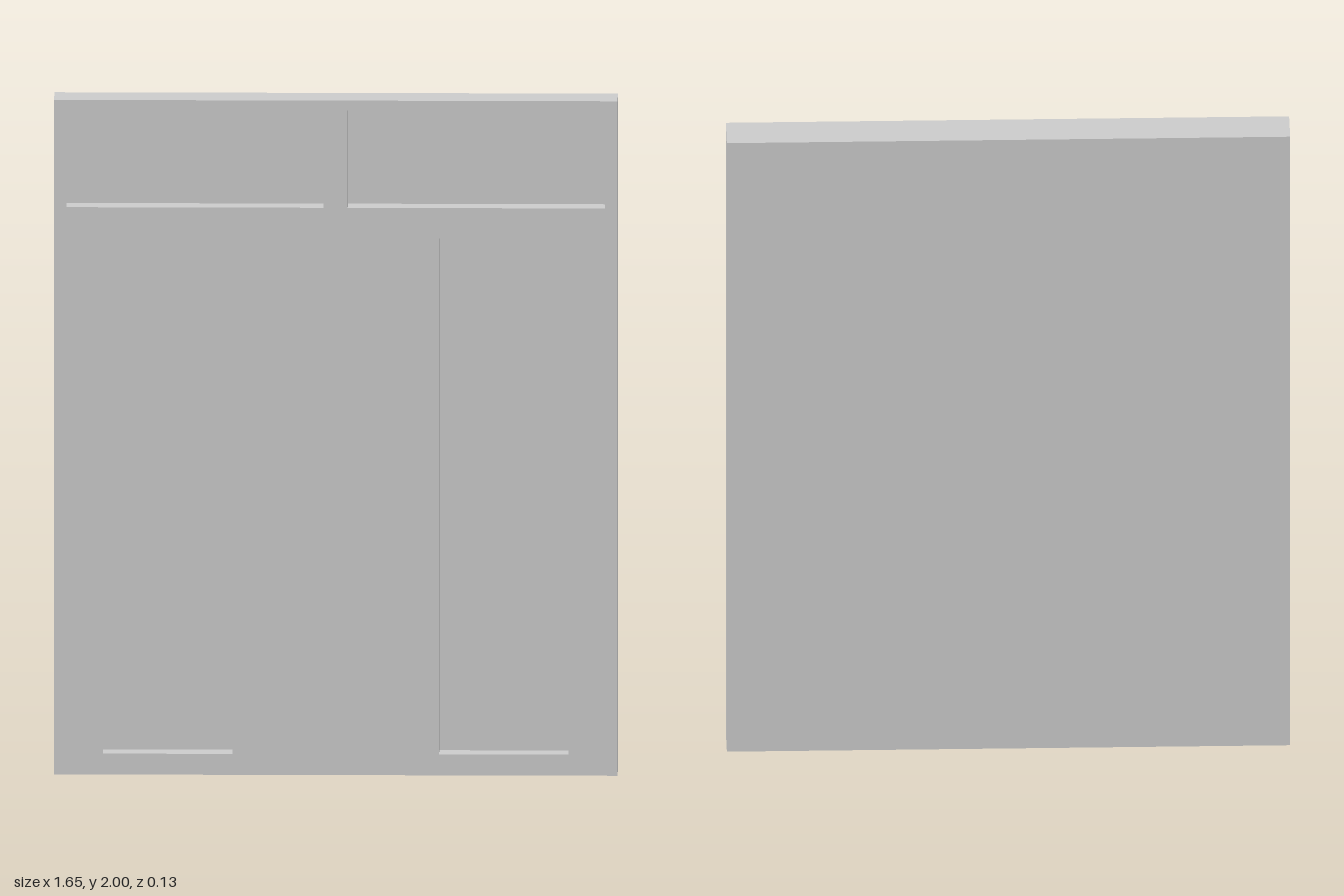
import * as THREE from 'three';

const HALF_W = 0.823, HEIGHT = 2, HALF_D = 0.065, RECESS = 0.072;

// Traces a rectangle into a Shape or Path
function rect(path, x0, y0, x1, y1) {
  path.moveTo(x0, y0);
  path.lineTo(x1, y0);
  path.lineTo(x1, y1);
  path.lineTo(x0, y1);
  path.closePath();
  return path;
}

export function createModel() {
  const group = new THREE.Group();
  group.name = 'doublePanelDoor';
  const material = new THREE.MeshStandardMaterial({ color: 0xcccccc });

  // Front frame with two wide upper openings and two tall lower ones
  const outline = rect(new THREE.Shape(), -HALF_W, 0, HALF_W, HEIGHT);
  const openings = [
    [0.035, 1.682, 0.787, 1.97],
    [0.302, 0.062, 0.68, 1.592],
  ];
  for (const [x0, y0, x1, y1] of openings) {
    outline.holes.push(rect(new THREE.Path(), x0, y0, x1, y1));
    outline.holes.push(rect(new THREE.Path(), -x1, y0, -x0, y1));
  }
  const frame = new THREE.Mesh(
    new THREE.ExtrudeGeometry(outline, { depth: RECESS, bevelEnabled: false }),
    material
  );
  frame.name = 'frontFrame';
  frame.position.z = HALF_D - RECESS;
  group.add(frame);

  // Solid back board that forms the recess floors
  const backDepth = 2 * HALF_D - RECESS;
  const board = new THREE.Mesh(new THREE.BoxGeometry(2 * HALF_W, HEIGHT, backDepth), material);
  board.name = 'backBoard';
  board.position.set(0, HEIGHT / 2, -HALF_D + backDepth / 2);
  group.add(board);

  return group;
}
